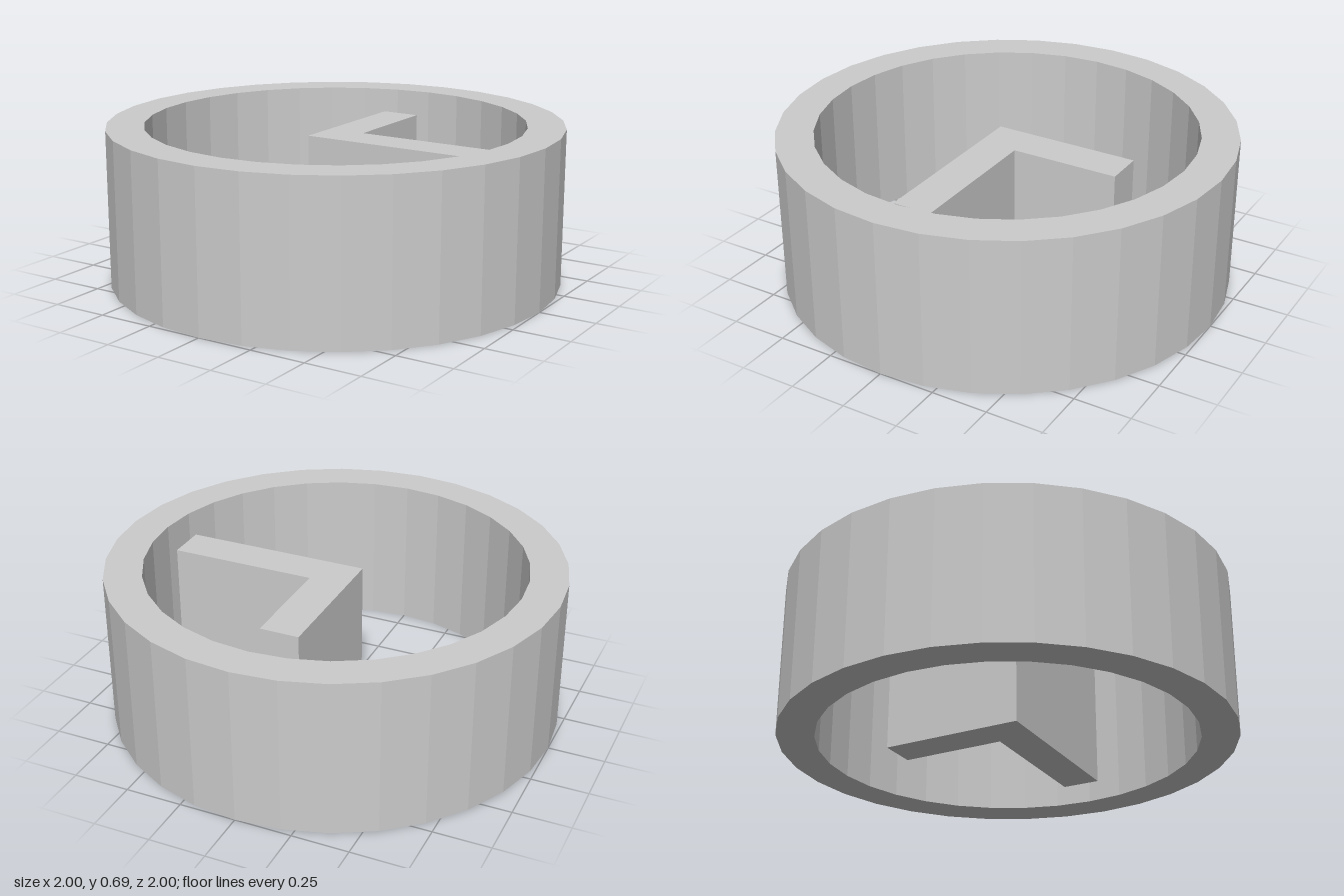
import * as THREE from 'three';

const SIDES = 32, HEIGHT = 0.695;
const material = new THREE.MeshStandardMaterial({ color: 0xcccccc, flatShading: true });

// Regular polygon with a corner on each axis
function polygon(radius) {
  return Array.from({ length: SIDES }, (_, i) => {
    const a = (i / SIDES) * Math.PI * 2;
    return new THREE.Vector2(radius * Math.cos(a), radius * Math.sin(a));
  });
}

// Extrude a plan shape (x, -z) upward from y0 to y1
function slab(name, shape, y0, y1) {
  const geometry = new THREE.ExtrudeGeometry(shape, { depth: y1 - y0, bevelEnabled: false });
  geometry.rotateX(-Math.PI / 2).translate(0, y0, 0);
  const mesh = new THREE.Mesh(geometry, material);
  mesh.name = name;
  return mesh;
}

export function createModel() {
  const group = new THREE.Group();
  group.name = 'clockIcon';

  // Open ring forming the clock rim
  const ring = new THREE.Shape(polygon(1));
  ring.holes.push(new THREE.Path(polygon(0.835)));
  group.add(slab('rim', ring, 0, HEIGHT));

  // L-shaped pair of hands, set in slightly from both faces of the rim
  const w = 0.087, inset = 0.058;
  const hands = new THREE.Shape([
    [-w, -w], [0.742, -w], [0.742, w], [w, w], [w, 0.567], [-w, 0.567],
  ].map(([x, y]) => new THREE.Vector2(x, y)));
  group.add(slab('hands', hands, inset, HEIGHT - inset));

  return group;
}
